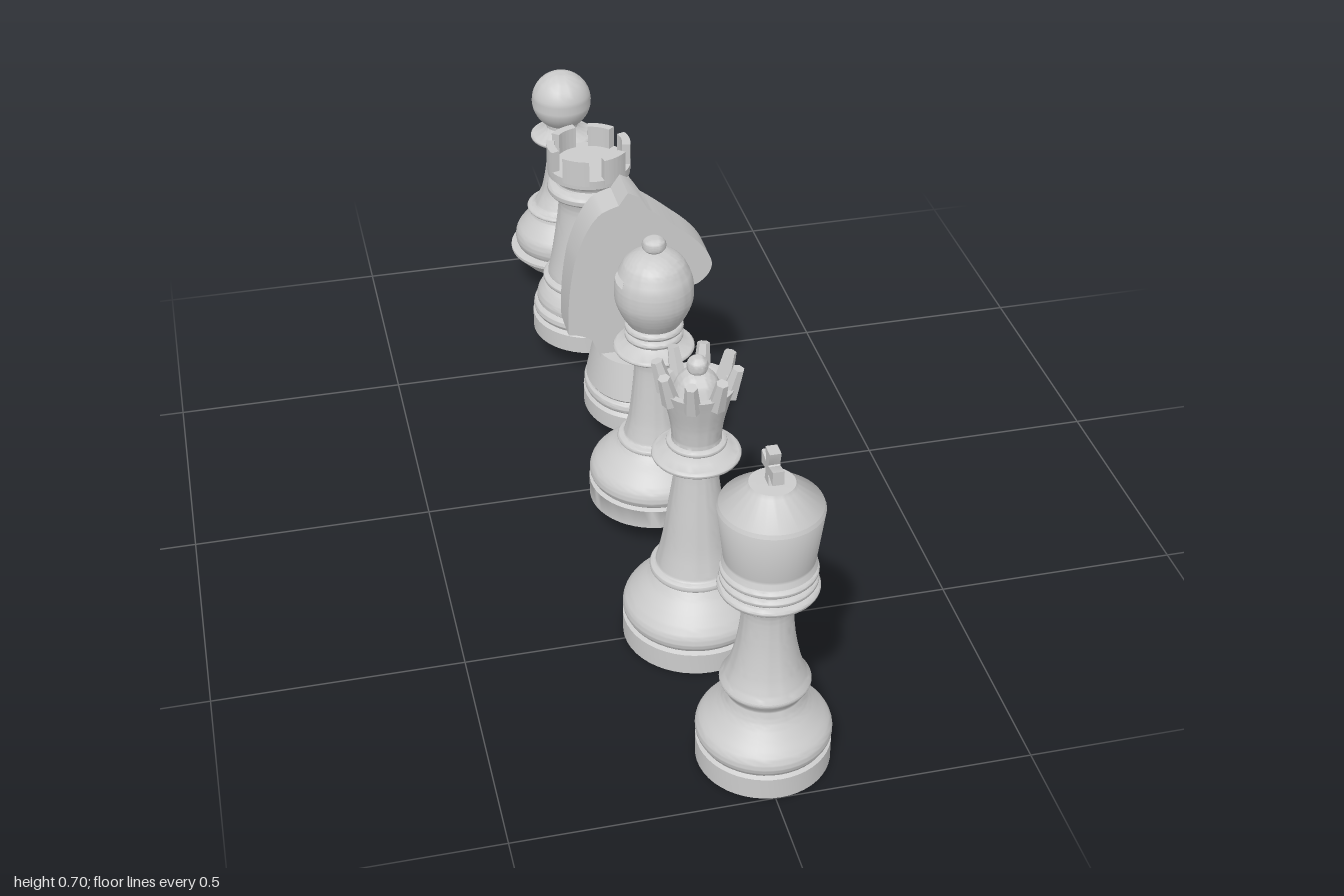
import * as THREE from 'three';
import { toCreasedNormals } from 'three/addons/utils/BufferGeometryUtils.js';

const material = new THREE.MeshStandardMaterial({ color: 0xcccccc });

function mesh(name, geometry, crease = 0.6) {
  const m = new THREE.Mesh(toCreasedNormals(geometry, crease), material);
  m.name = name;
  return m;
}

function piece(name, x, z) {
  const g = new THREE.Group();
  g.name = name;
  g.position.set(x, 0, z);
  return g;
}

// A [radius, height] pair is a hard corner; a list of pairs is a smooth curve.
function lathe(items, segments = 48) {
  const pts = [];
  for (const item of items) {
    if (typeof item[0] === 'number') pts.push(new THREE.Vector2(...item));
    else {
      const curve = new THREE.SplineCurve(item.map(p => new THREE.Vector2(...p)));
      pts.push(...curve.getPoints(item.length * 5));
    }
  }
  return new THREE.LatheGeometry(pts, segments);
}

// Rounded bead between two heights, bulging to radius r
const bead = (r, y0, y1, depth = 0.01) => Array.from({ length: 7 }, (_, i) => {
  const a = Math.PI * i / 6;
  return [r - depth + depth * Math.sin(a), (y0 + y1) / 2 - (y1 - y0) / 2 * Math.cos(a)];
});

function extrude(points, depth) {
  const g = new THREE.ExtrudeGeometry(points, { depth, bevelEnabled: false, curveSegments: 10 });
  return g.translate(0, 0, -depth / 2);
}

function king() {
  const g = piece('king', 0.01, 0.872);
  g.add(mesh('kingBody', lathe([
    [0, 0], [0.128, 0], [0.128, 0.046], [0.12, 0.05],
    [[0.122, 0.052], [0.129, 0.068], [0.124, 0.088], [0.1, 0.115], [0.082, 0.138], [0.073, 0.16]],
    [[0.074, 0.166], [0.085, 0.184], [0.085, 0.19]],
    [[0.079, 0.195], [0.066, 0.23], [0.055, 0.28], [0.049, 0.33], [0.049, 0.365], [0.06, 0.39], [0.072, 0.398]],
    [0.085, 0.399], bead(0.094, 0.401, 0.418), bead(0.09, 0.42, 0.436), [0.08, 0.437],
    bead(0.09, 0.44, 0.456), [[0.087, 0.46], [0.083, 0.47]], [0.084, 0.477],
    [0.097, 0.582], [0.094, 0.59], [0.046, 0.628], [0.042, 0.635], [0, 0.637]])));

  // Flared cross standing across the x axis
  const quarter = [[0.008, 0.01], [0.014, 0.036], [-0.014, 0.036], [-0.008, 0.01]];
  const outline = [];
  for (let i = 0; i < 4; i++)
    for (const [x, y] of quarter)
      outline.push(new THREE.Vector2(x, y).rotateAround(new THREE.Vector2(), i * Math.PI / 2));
  const cross = mesh('kingCross', extrude(new THREE.Shape(outline), 0.021));
  cross.rotation.y = Math.PI / 2;
  cross.position.y = 0.667;
  g.add(cross);
  return g;
}

function queen() {
  const g = piece('queen', -0.03, 0.495);
  g.add(mesh('queenBody', lathe([
    [0, 0], [0.144, 0], [0.144, 0.046], [0.135, 0.05],
    [[0.138, 0.053], [0.144, 0.068], [0.138, 0.09], [0.115, 0.118], [0.093, 0.14], [0.082, 0.154]],
    bead(0.09, 0.156, 0.174), [0.078, 0.176],
    [[0.077, 0.18], [0.066, 0.23], [0.056, 0.3], [0.046, 0.37], [0.042, 0.41], [0.048, 0.425]],
    [0.075, 0.43], bead(0.087, 0.432, 0.445, 0.008), [0.068, 0.453], [0.056, 0.458],
    bead(0.059, 0.46, 0.474), [0.048, 0.478],
    [[0.048, 0.48], [0.053, 0.52], [0.064, 0.565], [0.073, 0.597]],
    [0.06, 0.597], [0.05, 0.58], [[0.046, 0.59], [0.035, 0.612], [0.018, 0.625], [0, 0.628]]])));
  const ball = mesh('queenBall', new THREE.SphereGeometry(0.021, 24, 16));
  ball.position.y = 0.637;
  g.add(ball);

  // Eight prongs leaning outwards
  for (let i = 0; i < 8; i++) {
    const arm = new THREE.Group();
    arm.name = 'crownProng';
    arm.rotation.y = (i + 0.5) * Math.PI / 4;
    const prong = mesh('prong', new THREE.CylinderGeometry(0.012, 0.018, 0.065, 6));
    prong.position.set(0.069, 0.607, 0);
    prong.rotation.z = -0.27;
    arm.add(prong);
    g.add(arm);
  }
  return g;
}

function bishop() {
  const g = piece('bishop', -0.026, 0.118);
  g.add(mesh('bishopBody', lathe([
    [0, 0.07], [0.138, 0.07], [0.138, 0.112], [0.129, 0.116],
    [[0.131, 0.118], [0.137, 0.132], [0.13, 0.155], [0.105, 0.18], [0.082, 0.197], [0.073, 0.206]],
    bead(0.077, 0.207, 0.222), [0.064, 0.224],
    [[0.063, 0.226], [0.053, 0.27], [0.045, 0.34], [0.041, 0.4], [0.046, 0.425]],
    [0.07, 0.433], bead(0.084, 0.435, 0.447, 0.008), [0.062, 0.455], [0.053, 0.46],
    bead(0.061, 0.462, 0.48), bead(0.061, 0.482, 0.5), [0.05, 0.503], [0, 0.503]])));

  // Egg-shaped head, with a slot cut flat across one side
  const slot = [0.602, 0.618];
  const head = lathe([
    [0, 0.5], [[0.054, 0.5], [0.069, 0.525], [0.08, 0.555], [0.081, 0.585], [0.0785, slot[0]]],
    [0.0784, slot[0] + 0.0005], [0.0735, slot[1] - 0.0005],
    [[0.0732, slot[1]], [0.06, 0.642], [0.04, 0.657], [0.02, 0.664], [0, 0.666]]], 64);
  const p = head.attributes.position;
  for (let i = 0; i < p.count; i++)
    if (p.getY(i) > slot[0] + 0.0002 && p.getY(i) < slot[1] - 0.0002) p.setZ(i, Math.max(p.getZ(i), -0.03));
  const headMesh = mesh('bishopHead', head);
  headMesh.rotation.y = Math.PI / 4;
  g.add(headMesh);

  const finial = mesh('bishopFinial', new THREE.SphereGeometry(0.025, 24, 16));
  finial.scale.y = 0.72;
  finial.position.y = 0.68;
  g.add(finial);
  return g;
}

function knight() {
  const g = piece('knight', -0.003, -0.216);
  const base = mesh('knightBase', lathe([
    [0, 0.074], [0.134, 0.074], [0.134, 0.112], [0.127, 0.117],
    bead(0.132, 0.119, 0.143, 0.008), [0.122, 0.146], [0.126, 0.151], [0.104, 0.236], [0, 0.236]]));
  base.scale.x = 0.78;
  g.add(base);

  // Flat horse head cut from a slab
  const s = new THREE.Shape();
  s.moveTo(0.055, 0.225);
  s.lineTo(0.112, 0.3);
  s.lineTo(0.111, 0.315);
  s.quadraticCurveTo(0.035, 0.35, 0.018, 0.435);
  s.quadraticCurveTo(0.06, 0.425, 0.098, 0.398);
  s.quadraticCurveTo(0.12, 0.378, 0.145, 0.39);
  s.quadraticCurveTo(0.175, 0.41, 0.175, 0.437);
  s.quadraticCurveTo(0.168, 0.48, 0.098, 0.536);
  s.quadraticCurveTo(0.06, 0.57, 0.032, 0.59);
  s.lineTo(0.012, 0.622);
  s.lineTo(-0.012, 0.635);
  s.lineTo(-0.032, 0.606);
  s.quadraticCurveTo(-0.055, 0.6, -0.07, 0.592);
  s.quadraticCurveTo(-0.105, 0.565, -0.13, 0.478);
  s.quadraticCurveTo(-0.149, 0.39, -0.147, 0.295);
  s.quadraticCurveTo(-0.12, 0.293, -0.095, 0.275);
  s.lineTo(-0.075, 0.225);
  g.add(mesh('horseHead', extrude(s, 0.084)));
  return g;
}

function rook() {
  const g = piece('rook', -0.022, -0.561);
  g.add(mesh('rookBody', lathe([
    [0, 0.07], [0.138, 0.07], [0.138, 0.112], [0.13, 0.117],
    bead(0.136, 0.119, 0.145), [0.124, 0.147],
    [[0.127, 0.15], [0.126, 0.165], [0.115, 0.185], [0.106, 0.196]],
    bead(0.112, 0.198, 0.216), [0.1, 0.218],
    [[0.1, 0.221], [0.09, 0.27], [0.079, 0.34], [0.072, 0.4], [0.075, 0.425]],
    [0.086, 0.432], bead(0.097, 0.434, 0.458), [0.078, 0.461],
    [[0.076, 0.465], [0.08, 0.475], [0.09, 0.481]], [0.095, 0.484], [0.096, 0.505], [0, 0.505]])));

  // Six battlements around the rim
  for (let i = 0; i < 6; i++) {
    const a = i * Math.PI / 3, h = 0.34;
    const s = new THREE.Shape();
    s.absarc(0, 0, 0.096, a - h, a + h, false);
    s.absarc(0, 0, 0.077, a + h, a - h, true);
    const merlon = mesh('battlement', extrude(s, 0.062));
    merlon.rotation.x = -Math.PI / 2;
    merlon.position.y = 0.524;
    g.add(merlon);
  }
  return g;
}

function pawn() {
  const g = piece('pawn', -0.026, -0.867);
  g.add(mesh('pawnBody', lathe([
    [0, 0.076], [0.1, 0.076], [0.133, 0.11], [0.133, 0.117], [0.114, 0.121],
    [[0.116, 0.123], [0.121, 0.14], [0.117, 0.163], [0.1, 0.188], [0.085, 0.208], [0.082, 0.216]],
    bead(0.09, 0.217, 0.23), [0.072, 0.234],
    [[0.07, 0.237], [0.053, 0.275], [0.042, 0.33], [0.037, 0.38], [0.042, 0.4]],
    [0.066, 0.41], bead(0.076, 0.412, 0.426, 0.008), [0.045, 0.436], [0.038, 0.445], [0.038, 0.46], [0, 0.46]])));
  const ball = mesh('pawnHead', new THREE.SphereGeometry(0.071, 40, 24));
  ball.position.y = 0.513;
  g.add(ball);
  return g;
}

export function createModel() {
  const model = new THREE.Group();
  model.name = 'chessPieces';
  model.add(king(), queen(), bishop(), knight(), rook(), pawn());
  return model;
}
